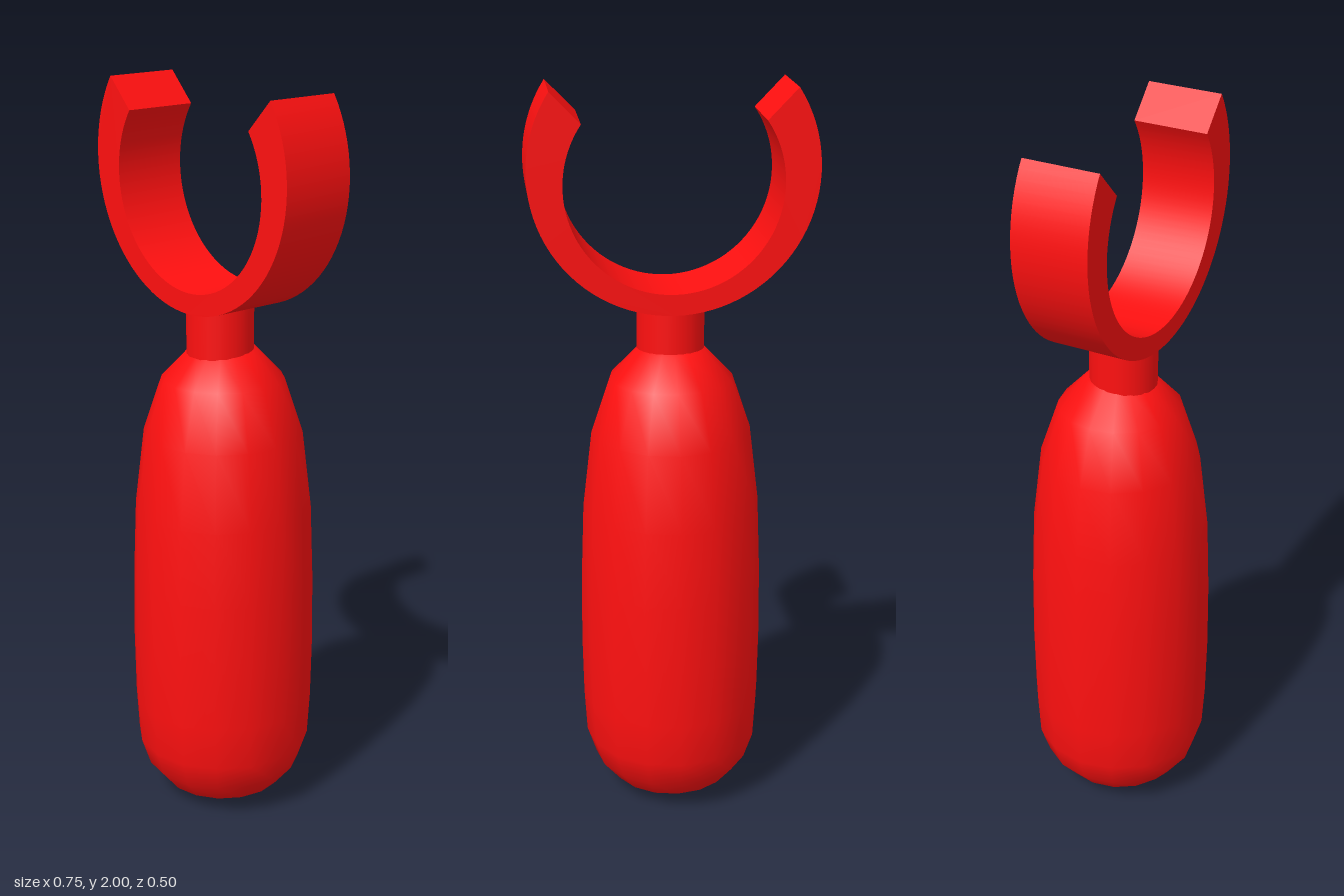
import * as THREE from 'three';
import { toCreasedNormals } from 'three/addons/utils/BufferGeometryUtils.js';

export function createModel() {
  const model = new THREE.Group();
  const red = new THREE.MeshStandardMaterial({ color: 0xff1010 });
  const add = (name, geometry) => {
    const mesh = new THREE.Mesh(geometry, red);
    mesh.name = name;
    model.add(mesh);
    return mesh;
  };

  // Rounded sixteen-sided body, from the base up to the shoulder
  const profile = [
    [0, 0], [0.08, 0.01], [0.165, 0.045], [0.215, 0.105], [0.24, 0.18], [0.247, 0.3], [0.25, 0.47],
    [0.248, 0.66], [0.24, 0.87], [0.215, 1.08], [0.165, 1.23], [0.09, 1.31], [0, 1.34],
  ].map(([r, y]) => new THREE.Vector2(r, y));
  add('body', new THREE.LatheGeometry(profile, 16));

  // Short neck, set slightly forward
  const neck = add('neck', new THREE.CylinderGeometry(0.09, 0.09, 0.17, 24));
  neck.position.set(0, 1.365, 0.01);

  // Open claw: a crescent between two offset circles, cut at the tips
  const outerY = 1.795, innerY = 1.76;
  const outerTip = Math.atan2(2 - outerY, 0.312);
  const innerTip = Math.atan2(1.92 - innerY, 0.235);
  const crescent = new THREE.Shape();
  crescent.absarc(0, outerY, 0.374, outerTip, Math.PI - outerTip, true);
  crescent.absarc(0, innerY, 0.283, Math.PI - innerTip, innerTip, false);
  crescent.closePath();
  const claw = new THREE.ExtrudeGeometry(crescent, { depth: 0.208, bevelEnabled: false, curveSegments: 32 });
  claw.translate(0, 0, -0.088);
  add('claw', toCreasedNormals(claw, 0.6));

  return model;
}
